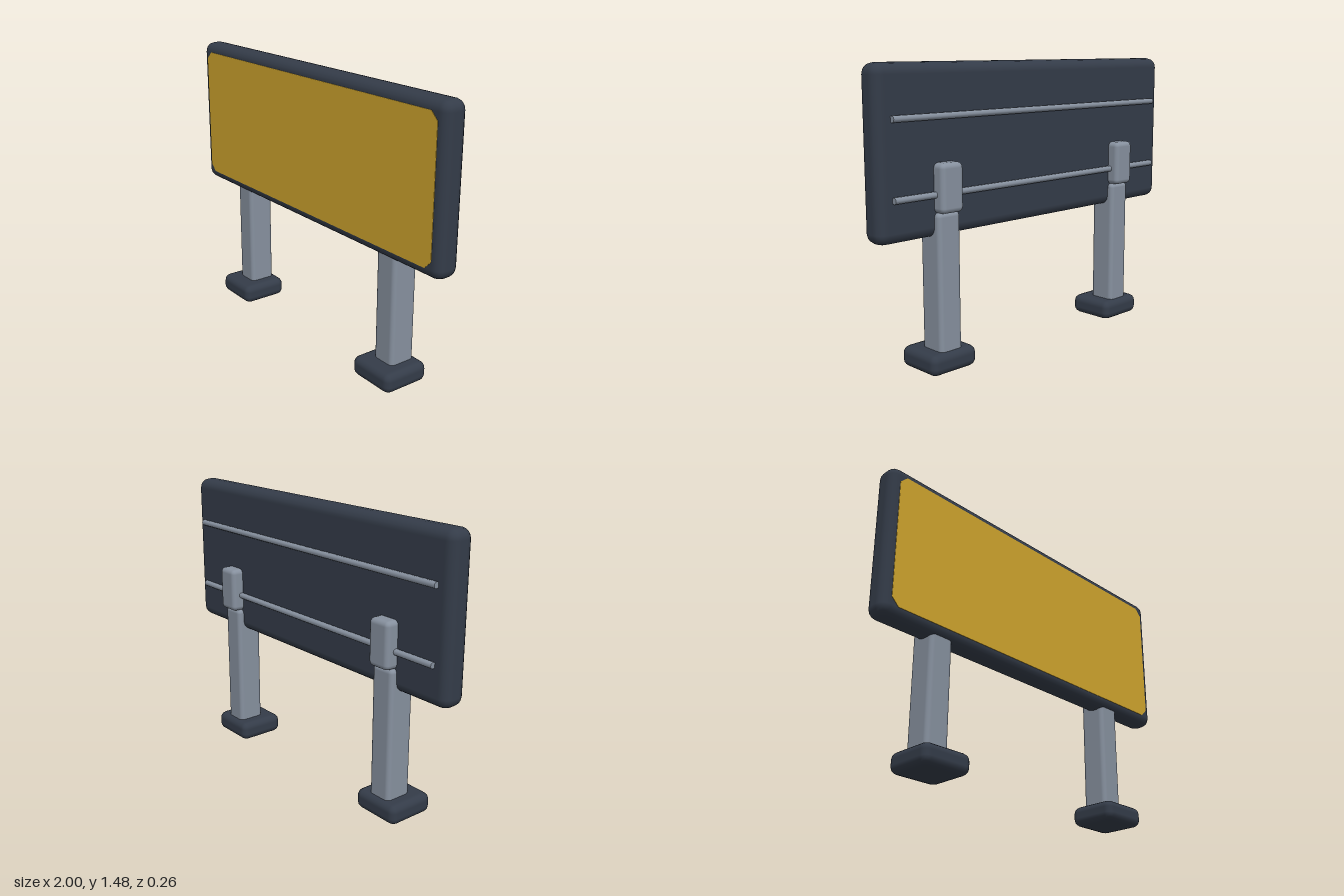
import * as THREE from 'three';
import { RoundedBoxGeometry } from 'three/addons/geometries/RoundedBoxGeometry.js';

function material(name, color) {
  const m = new THREE.MeshStandardMaterial({ color });
  m.name = name;
  return m;
}

export function createModel() {
  const group = new THREE.Group();
  group.name = 'billboard';
  const dark = material('dark slate', 0x343c49);
  const steel = material('steel grey', 0x87919f);
  const yellow = material('amber yellow', 0xd0a52e);

  function add(name, geometry, mat, x, y, z) {
    const mesh = new THREE.Mesh(geometry, mat);
    mesh.name = name;
    mesh.position.set(x, y, z);
    group.add(mesh);
    return mesh;
  }
  const box = (w, h, d, r) => new RoundedBoxGeometry(w, h, d, 2, r);

  // Sign board
  add('board', box(2, 0.815, 0.134, 0.052), dark, 0, 1.0675, 0);

  // Thin face plate with clipped corners
  const w = 0.948, h = 0.357, c = 0.04;
  const outline = new THREE.Shape([
    [-w + c, -h], [w - c, -h], [w, -h + c], [w, h - c],
    [w - c, h], [-w + c, h], [-w, h - c], [-w, -h + c],
  ].map(([x, y]) => new THREE.Vector2(x, y)));
  add('facePlate', new THREE.ExtrudeGeometry(outline, { depth: 0.008, bevelEnabled: false }),
    yellow, 0, 1.0675, 0.061);

  // Horizontal rails on the back
  for (const [name, y] of [['upperRail', 1.229], ['lowerRail', 0.866]]) {
    const rail = add(name, new THREE.CylinderGeometry(0.016, 0.016, 1.846, 10), steel, 0, y, -0.077);
    rail.rotation.z = Math.PI / 2;
  }

  // Mirrored supports
  for (const [side, s] of [['left', 1], ['right', -1]]) {
    const x = s * 0.623;
    add(side + 'Foot', box(0.275, 0.105, 0.262, 0.038), dark, x, 0.0525, 0);
    add(side + 'Post', box(0.134, 0.73, 0.146, 0.024), steel, x, 0.415, -0.027);
    add(side + 'Bracket', box(0.132, 0.238, 0.12, 0.026), steel, x, 0.896, -0.071);
  }
  return group;
}
